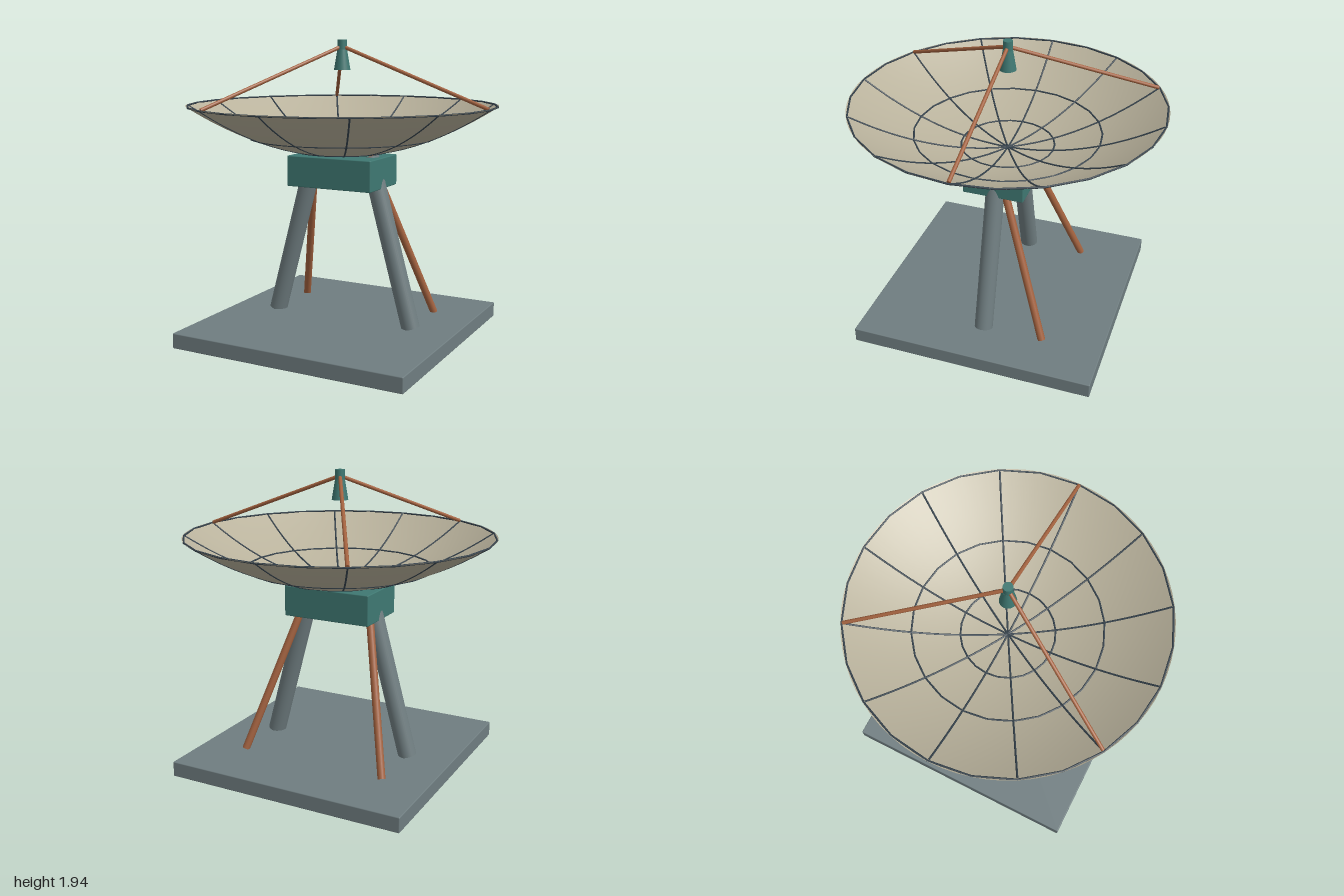
import * as THREE from 'three';
import { RoundedBoxGeometry } from 'three/addons/geometries/RoundedBoxGeometry.js';

const material = (name, color, extra = {}) => {
  const m = new THREE.MeshStandardMaterial({ color, ...extra });
  m.name = name;
  return m;
};

const V = (x, y, z) => new THREE.Vector3(x, y, z);

// Height of the parabolic dish at radius r
const dishHeight = (r) => 1.2 + 0.33 * r * r;

export function createModel() {
  const model = new THREE.Group();
  model.name = 'dishAntenna';

  const steel = material('steel grey', 0x6f7d80);
  const teal = material('teal paint', 0x3f7872);
  const copper = material('copper', 0xa3623f);
  const ribDark = material('dark slate', 0x36434d);
  const shell = material('warm ivory', 0xb9b29c, { side: THREE.DoubleSide });

  const add = (name, geometry, mat) => {
    const mesh = new THREE.Mesh(geometry, mat);
    mesh.name = name;
    model.add(mesh);
    return mesh;
  };

  // Straight round bar between two points
  const bar = (name, a, b, radius, mat, sides = 24) => {
    const mesh = add(name, new THREE.CylinderGeometry(radius, radius, a.distanceTo(b), sides), mat);
    mesh.position.copy(a).add(b).multiplyScalar(0.5);
    mesh.quaternion.setFromUnitVectors(V(0, 1, 0), b.clone().sub(a).normalize());
    return mesh;
  };

  // Base slab and the block that carries the dish
  add('base', new RoundedBoxGeometry(1.6, 0.1, 1.6, 2, 0.006), steel).position.y = 0.05;
  add('mountBlock', new RoundedBoxGeometry(0.6, 0.2, 0.4, 2, 0.006), teal).position.y = 1.1;

  // Two thick legs, each with a thinner brace behind it
  for (const side of [-1, 1]) {
    const top = V(side * 0.2, 1.2, 0);
    bar('leg', V(side * 0.5, 0.1, 0), top, 0.06, steel, 32);
    bar('brace', V(side * 0.5, 0.1, -0.4), top, 0.025, copper, 16);
  }

  // Parabolic reflector
  const profile = [];
  for (let i = 0; i <= 24; i++) profile.push(new THREE.Vector2(i / 24, dishHeight(i / 24)));
  add('dish', new THREE.LatheGeometry(profile, 72), shell);

  // Radial ribs lying on the dish
  const ribPath = new THREE.CatmullRomCurve3(
    Array.from({ length: 9 }, (_, i) => V(i * 0.1235, dishHeight(i * 0.1235) + 0.001, 0)));
  const ribGeometry = new THREE.TubeGeometry(ribPath, 12, 0.006, 6);
  for (let i = 0; i < 12; i++) add('rib', ribGeometry, ribDark).rotation.y = (i * Math.PI) / 6;

  // Ring ribs, with the outermost at the rim
  for (const r of [0.3, 0.6, 0.994]) {
    const ring = add(r > 0.9 ? 'rimRing' : 'ringRib', new THREE.TorusGeometry(r, 0.006, 6, 24), ribDark);
    ring.rotation.x = Math.PI / 2;
    ring.position.y = dishHeight(r);
  }

  // Three arms from the rim to the feed
  for (let i = 0; i < 3; i++) {
    const a = (i * Math.PI * 2) / 3;
    bar('feedArm', V(0.985 * Math.cos(a), 1.53, 0.985 * Math.sin(a)), V(0, 1.9, 0), 0.012, copper, 12);
  }

  // Feed: a short cap above a flared horn
  add('feedCap', new THREE.CylinderGeometry(0.03, 0.03, 0.08, 24), teal).position.y = 1.9;
  add('feedHorn', new THREE.CylinderGeometry(0.031, 0.053, 0.13, 24), teal).position.y = 1.815;

  return model;
}
